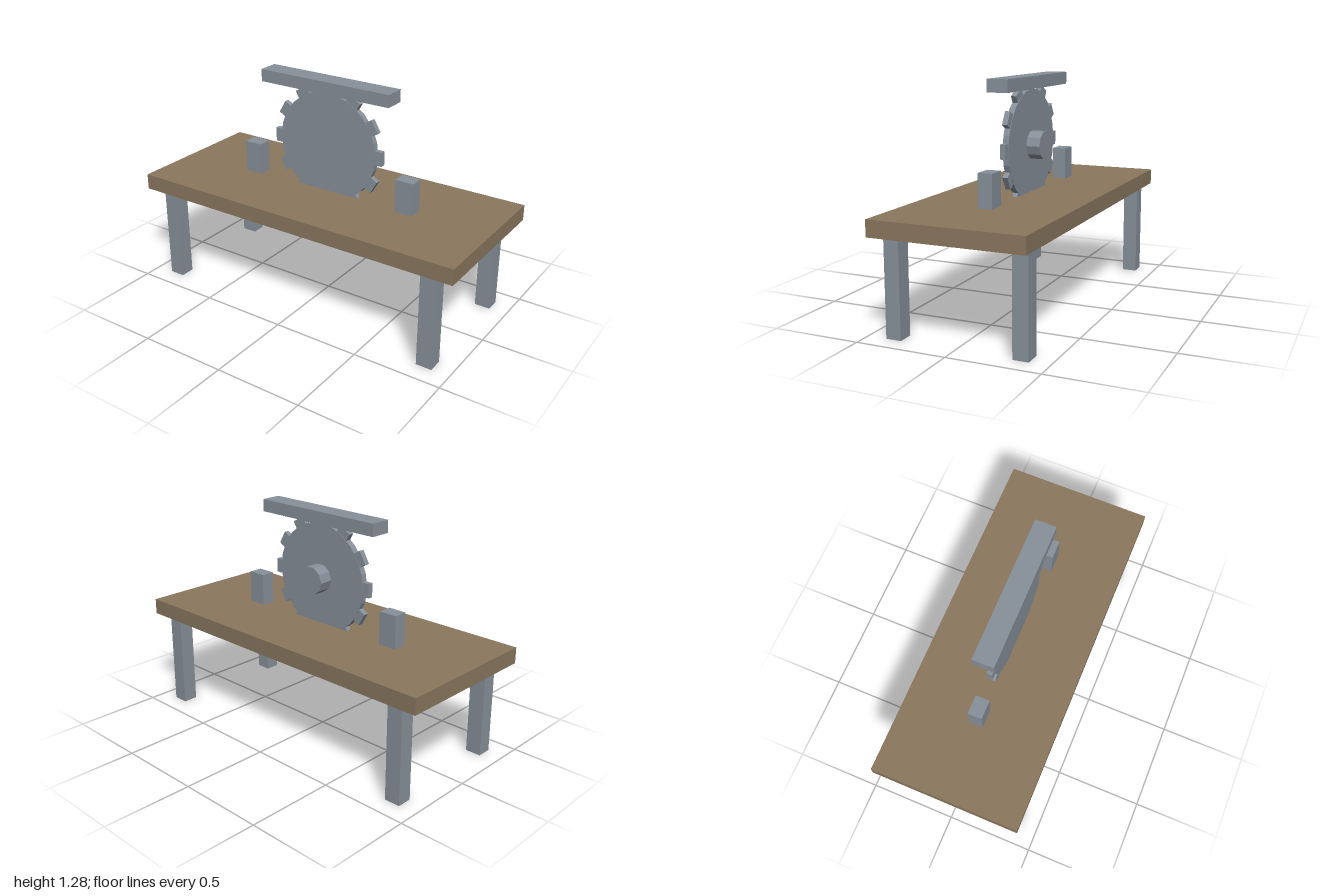
import * as THREE from 'three';

export function createModel() {
  const model = new THREE.Group();
  model.name = 'tableSaw';
  const steel = new THREE.MeshStandardMaterial({ color: 0x87909a });
  steel.name = 'steel grey';
  const wood = new THREE.MeshStandardMaterial({ color: 0x8a775e });
  wood.name = 'wood brown';

  function add(name, geometry, material, x, y, z, parent = model) {
    const mesh = new THREE.Mesh(geometry, material);
    mesh.name = name;
    mesh.position.set(x, y, z);
    parent.add(mesh);
    return mesh;
  }

  // Prism with its axis along z and a corner on the x axis
  function disc(radius, depth, sides) {
    const g = new THREE.CylinderGeometry(radius, radius, depth, sides);
    return g.rotateY(Math.PI / 2).rotateX(Math.PI / 2).toNonIndexed();
  }
  function flat(geometry) {
    geometry.computeVertexNormals();
    return geometry;
  }

  // Table top and legs
  add('tableTop', new THREE.BoxGeometry(2, 0.09, 0.85), wood, 0, 0.59, 0);
  const leg = new THREE.BoxGeometry(0.09, 0.545, 0.085);
  for (const x of [-0.853, 0.853]) {
    for (const z of [-0.35, 0.35]) add('leg', leg, steel, x, 0.2725, z);
  }

  // Side blocks and the bar over the blade
  const block = new THREE.BoxGeometry(0.108, 0.185, 0.08);
  for (const x of [-0.505, 0.505]) add('sideBlock', block, steel, x, 0.7275, 0);
  add('topBar', new THREE.BoxGeometry(0.82, 0.07, 0.118), steel, 0, 1.25, 0);

  // Toothed blade, partly sunk in the table
  const blade = new THREE.Group();
  blade.name = 'blade';
  blade.position.set(0, 0.9, 0);
  model.add(blade);
  add('bladeDisc', flat(disc(0.311, 0.035, 24)), steel, 0, 0, 0, blade);
  const tooth = new THREE.BoxGeometry(0.08, 0.08, 0.03);
  for (let i = 0; i < 12; i++) {
    const a = (i * Math.PI) / 6;
    const mesh = add('tooth', tooth, steel, Math.cos(a) * 0.31, Math.sin(a) * 0.31, 0, blade);
    mesh.rotation.z = a;
  }

  // Motor hub on the back of the blade
  add('motorHub', flat(disc(0.08, 0.08, 10)), steel, 0, 0, -0.056, blade);
  return model;
}
